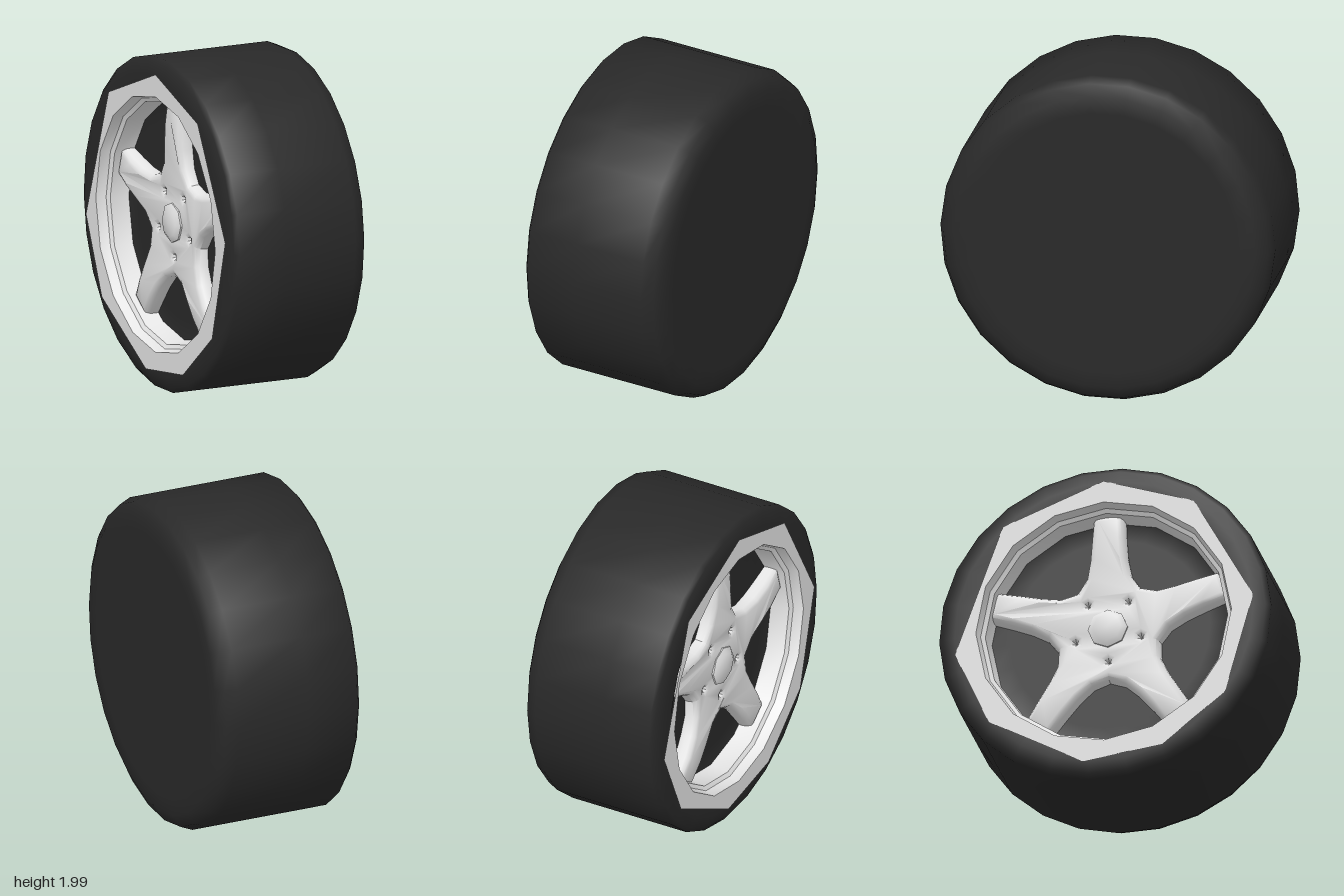
import * as THREE from 'three';
import { toCreasedNormals } from 'three/addons/utils/BufferGeometryUtils.js';

const rubber = new THREE.MeshStandardMaterial({ color: 0x292929 });
rubber.name = 'darkRubber';
const alloy = new THREE.MeshStandardMaterial({ color: 0xe4e4e4 });
alloy.name = 'lightAlloy';

const SPOKES = 5;
const STEP = (Math.PI * 2) / SPOKES;
const RIM_SIDES = 16;

function part(name, geometry, material) {
  const mesh = new THREE.Mesh(geometry, material);
  mesh.name = name;
  return mesh;
}

// Profile of [radius, height], turned about the axle; height points to -x
function turned(profile, sides, phase = 0, crease = 0.65) {
  const points = profile.map(([r, h]) => new THREE.Vector2(r, h));
  const geometry = new THREE.LatheGeometry(points, sides, phase);
  geometry.rotateZ(Math.PI / 2);
  return toCreasedNormals(geometry, crease);
}

// Point at distance r along a direction measured from the top, shifted sideways by s
function along(angle, r, s = 0) {
  return new THREE.Vector2(
    Math.sin(angle) * r + Math.cos(angle) * s,
    Math.cos(angle) * r - Math.sin(angle) * s
  );
}

// Flat outer face of the rim, with an uneven faceted outline
function rimFace() {
  const corners = [0, 37, 85, 126, 157, 188, 230, 262, 318];
  const shape = new THREE.Shape(corners.map((d) => along(THREE.MathUtils.degToRad(d), 0.905)));
  const hole = [];
  for (let k = 0; k < RIM_SIDES; k++) hole.push(along((-k * Math.PI * 2) / RIM_SIDES, 0.77));
  shape.holes.push(new THREE.Path(hole));
  const geometry = new THREE.ShapeGeometry(shape);
  geometry.translate(0, 0, 0.46);
  geometry.rotateY(-Math.PI / 2);
  return geometry;
}

// Five-armed star with rounded edges and funnel-shaped lug wells between the arms
function spokeStar() {
  const arm = [[0.33, 0.095], [0.45, 0.072], [0.58, 0.062], [0.7, 0.055]];
  const outline = [];
  for (let i = 0; i < SPOKES; i++) {
    const a = i * STEP;
    outline.push(along(a - STEP / 2, 0.28));
    arm.forEach(([r, w]) => outline.push(along(a, r, -w)));
    [...arm].reverse().forEach(([r, w]) => outline.push(along(a, r, w)));
  }
  const shape = new THREE.Shape(outline);
  for (let i = 0; i < SPOKES; i++) {
    const c = along((i + 0.5) * STEP, 0.207);
    const hole = [];
    for (let k = 0; k < 6; k++) hole.push(along((-k * Math.PI) / 3, 0.048).add(c));
    shape.holes.push(new THREE.Path(hole));
  }
  const geometry = new THREE.ExtrudeGeometry(shape, {
    depth: 0.02, bevelThickness: 0.06, bevelSize: 0.04, bevelSegments: 3, curveSegments: 1,
  });
  // Arch the arms outward between hub and rim
  const p = geometry.attributes.position;
  for (let i = 0; i < p.count; i++) {
    const r = Math.hypot(p.getX(i), p.getY(i));
    const t = THREE.MathUtils.clamp((r - 0.3) / 0.46, 0, 1);
    p.setZ(i, p.getZ(i) + 0.265 + 0.02 * Math.sin(Math.PI * t));
  }
  geometry.rotateY(-Math.PI / 2);
  return toCreasedNormals(geometry, 0.7);
}

export function createModel() {
  const wheel = new THREE.Group();
  wheel.name = 'wheel';

  // Tyre: closed inner side, tread, outer sidewall and dark disc behind the spokes
  wheel.add(part('tyre', turned([
    [0, -0.455], [0.8, -0.455], [0.9, -0.455], [0.97, -0.42], [1, -0.35],
    [1, 0.1], [1, 0.415], [0.97, 0.437], [0.9, 0.453], [0.79, 0.445],
    [0.78, 0.3], [0.74, 0.27], [0.6, 0.27], [0, 0.27],
  ], 26, 0.02, 1), rubber));

  // Rim: flat face, then a stepped wall leading in to the disc
  wheel.add(part('rimFace', rimFace(), alloy));
  wheel.add(part('rimWall', turned([
    [0.77, 0.46], [0.755, 0.4], [0.73, 0.385], [0.715, 0.265],
  ], RIM_SIDES), alloy));

  wheel.add(part('spokes', spokeStar(), alloy));

  // Domed hub cap
  wheel.add(part('hubCap', turned([
    [0.12, 0.32], [0.12, 0.355], [0.085, 0.375], [0, 0.38],
  ], 8), alloy));

  wheel.position.y = 1;
  const model = new THREE.Group();
  model.name = 'carWheel';
  model.add(wheel);
  return model;
}
